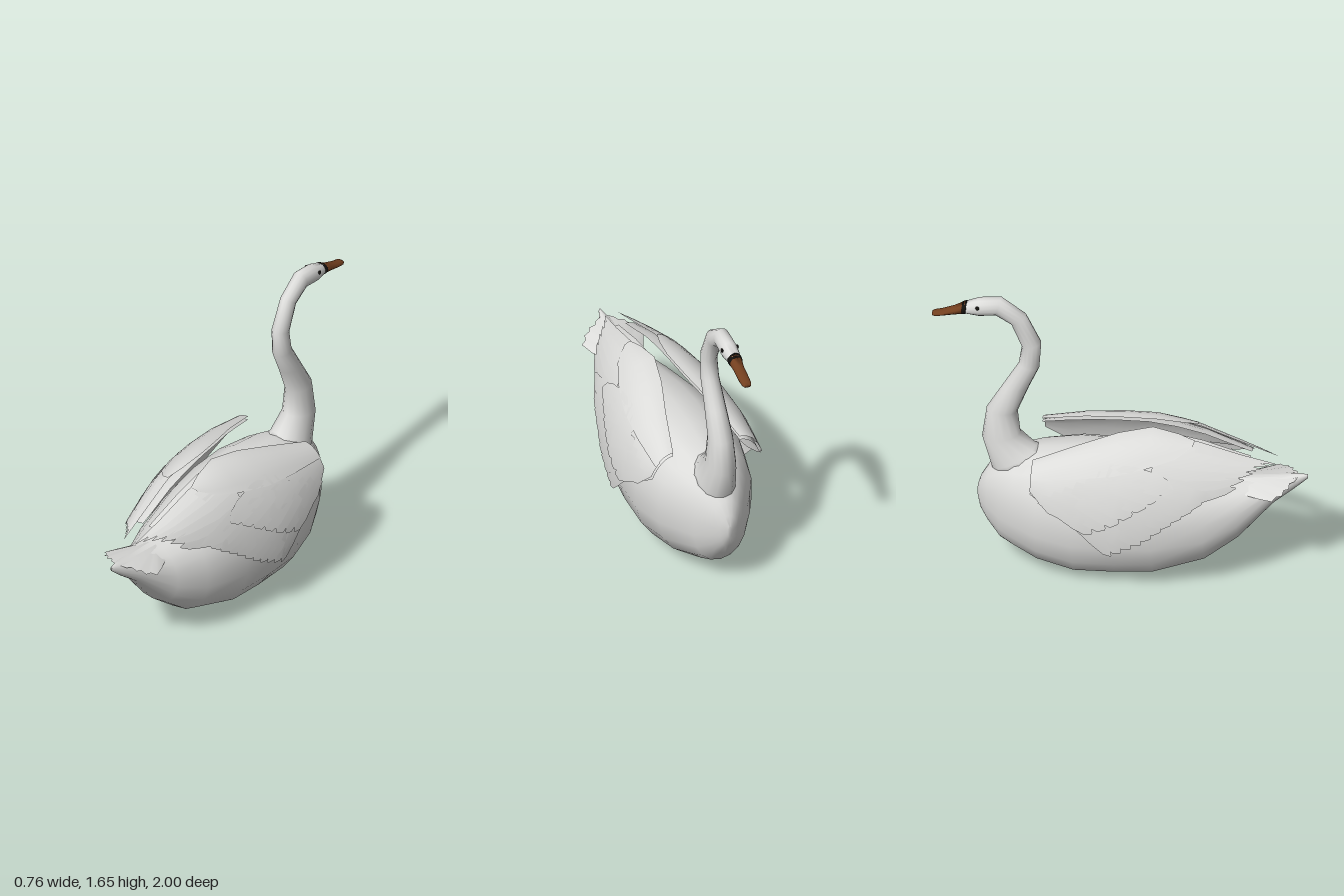
import * as THREE from 'three';

const DEG = Math.PI / 180;
const material = (name, color, side = THREE.FrontSide) =>
  Object.assign(new THREE.MeshStandardMaterial({ color, side }), { name });

function meshFrom(name, positions, index, mat) {
  const g = new THREE.BufferGeometry();
  g.setAttribute('position', new THREE.Float32BufferAttribute(positions, 3));
  g.setIndex(index);
  g.computeVertexNormals();
  const m = new THREE.Mesh(g, mat);
  m.name = name;
  return m;
}

// Loft through rings: [topZ, topY, bottomZ, bottomY, halfWidth]
function loft(name, rings, mat, sides = 16, power = 2) {
  const pos = [], idx = [];
  const round = v => Math.sign(v) * Math.abs(v) ** (2 / power);
  for (const [tz, ty, bz, by, w] of rings) {
    for (let j = 0; j < sides; j++) {
      const t = (j / sides) * Math.PI * 2;
      const c = round(Math.cos(t)), s = round(Math.sin(t));
      pos.push(s * w, (ty + by) / 2 + c * (ty - by) / 2, (tz + bz) / 2 + c * (tz - bz) / 2);
    }
  }
  const last = rings.length - 1;
  for (let i = 0; i < last; i++) {
    for (let j = 0; j < sides; j++) {
      const k = (j + 1) % sides, a = i * sides, b = a + sides;
      idx.push(a + j, a + k, b + j, a + k, b + k, b + j);
    }
  }
  for (let j = 1; j < sides - 1; j++) {
    idx.push(0, j + 1, j, last * sides, last * sides + j, last * sides + j + 1);
  }
  return meshFrom(name, pos, idx, mat);
}

// Arched wing shell, by z: [z, innerX, topY, outerX, sideY]
const SHELL = [
  [-0.44, 0.19, 0.74, 0.335, 0.46], [-0.2, 0.13, 0.82, 0.362, 0.42],
  [0, 0.07, 0.875, 0.362, 0.38], [0.18, 0.035, 0.905, 0.335, 0.38],
  [0.4, 0.03, 0.875, 0.285, 0.45], [0.65, 0.02, 0.79, 0.18, 0.6],
  [0.85, 0.015, 0.73, 0.06, 0.68],
];
function shellPoint(z, angle, lift, side) {
  let i = 0;
  while (i < SHELL.length - 2 && z > SHELL[i + 1][0]) i++;
  const a = SHELL[i], b = SHELL[i + 1];
  const f = THREE.MathUtils.clamp((z - a[0]) / (b[0] - a[0]), 0, 1);
  const [, xi, yt, xo, ys] = a.map((v, n) => v + (b[n] - v) * f);
  const s = Math.sin(angle * DEG), c = Math.cos(angle * DEG);
  return [side * (xi + (xo - xi + lift) * s), ys + (yt - ys + lift) * c, z];
}

// Sheet on the shell; stations are [innerZ, innerAngle, outerZ, outerAngle]
function sheet(name, stations, lift, side, mat, across = 6) {
  const pos = [], idx = [], n = across + 1;
  stations.forEach(([z0, a0, z1, a1], i) => {
    for (let j = 0; j <= across; j++) {
      const v = j / across;
      pos.push(...shellPoint(z0 + (z1 - z0) * v, a0 + (a1 - a0) * v, lift, side));
      if (i && j) {
        const p = (i - 1) * n + j - 1, q = p + n;
        if (side > 0) idx.push(p, q, p + 1, q, q + 1, p + 1);
        else idx.push(p, p + 1, q, q, p + 1, q + 1);
      }
    }
  });
  return meshFrom(name, pos, idx, mat);
}

// One pointed feather lying on the shell
function feather(name, rootZ, rootA, tipZ, tipA, width, lift, side, mat) {
  const perDeg = 0.006;
  const dz = tipZ - rootZ, da = (tipA - rootA) * perDeg, len = Math.hypot(dz, da);
  const pz = -da / len, pa = dz / len / perDeg;
  const stations = [[0, 0.7], [0.35, 1], [0.7, 1], [0.9, 0.75], [1, 0.12]].map(([t, w]) => {
    const z = rootZ + dz * t, a = rootA + (tipA - rootA) * t, h = width * w / 2;
    return [z - pz * h, a - pa * h, z + pz * h, a + pa * h];
  });
  return sheet(name, stations, lift, side, mat, 2);
}

function wing(side, mat) {
  const g = new THREE.Group();
  g.name = side > 0 ? 'leftWing' : 'rightWing';
  // Base sheet following the folded wing
  const base = [[-0.44, 55], [-0.3, 76], [-0.15, 86], [0, 88], [0.15, 80],
    [0.3, 70], [0.45, 62], [0.6, 58], [0.7, 48]];
  g.add(sheet('wingBase', base.map(([z, a]) => [z, 0, z, a]), 0, side, mat));
  // Flight feathers fanned along the lower edge
  const lower = 11;
  for (let i = 0; i < lower; i++) {
    const t = i / (lower - 1);
    g.add(feather('flightFeather', -0.27 + 0.42 * t, 68 - 22 * t, 0.0 + 0.52 * t, 99 - 30 * t,
      0.075, 0.006 + 0.0008 * i, side, mat));
  }
  // Long feathers reaching back over the tail
  for (let i = 0; i < 6; i++) {
    const t = i / 5;
    g.add(feather('longFeather', 0.2, 14 + 42 * t, 0.84 - 0.2 * t, 20 + 48 * t,
      0.085, 0.016 - 0.001 * i, side, mat));
  }
  // Overlapping coverts on the flank and shoulder
  for (let i = 0; i < 7; i++) {
    const t = i / 6;
    g.add(feather('covert', -0.38 + 0.35 * t, 60 - 22 * t, -0.1 + 0.42 * t, 84 - 28 * t,
      0.09, 0.016 + 0.0008 * i, side, mat));
  }
  g.add(sheet('shoulderCovert', [[-0.44, 28, -0.44, 52], [-0.32, 30, -0.34, 74],
    [-0.2, 34, -0.22, 80], [-0.06, 38, -0.14, 78], [0.08, 40, 0.02, 62], [0.16, 42, 0.14, 52]],
  0.014, side, mat));
  // Broad scapular sheet along the back
  g.add(sheet('scapular', [[-0.44, 0, -0.44, 38], [-0.2, 0, -0.2, 42], [0, 0, 0, 43],
    [0.18, 0, 0.18, 40], [0.32, 4, 0.32, 32], [0.41, 10, 0.4, 18]], 0.02, side, mat));
  return g;
}

// Half of the fanned tail with a notched rim
function tailFan(side, mat) {
  const rim = [[0.115, 0.583, 0.68], [0.15, 0.59, 0.76], [0.175, 0.598, 0.83], [0.145, 0.61, 0.85],
    [0.14, 0.615, 0.88], [0.11, 0.63, 0.885], [0.1, 0.635, 0.91], [0.065, 0.645, 0.91],
    [0.05, 0.65, 0.935], [0.01, 0.66, 0.95]];
  const pos = [side * 0.02, 0.625, 0.64], idx = [];
  rim.forEach(([x, y, z], i) => {
    pos.push(side * x, y, z);
    if (i) idx.push(...(side > 0 ? [0, i + 1, i] : [0, i, i + 1]));
  });
  return meshFrom('tailFan', pos, idx, mat);
}

export function createModel() {
  const swan = new THREE.Group();
  swan.name = 'swan';
  const white = material('white plumage', 0xdcdcda, THREE.DoubleSide);
  const brown = material('brown bill', 0x74401f);
  const black = material('black markings', 0x15120f);

  // Body: [z, bottomY, topY, halfWidth] from tail to breast
  const body = [
    [1.0, 0.645, 0.67, 0.006], [0.93, 0.58, 0.665, 0.035], [0.82, 0.49, 0.645, 0.085],
    [0.64, 0.27, 0.625, 0.17], [0.47, 0.13, 0.66, 0.24], [0.2, 0.03, 0.72, 0.3],
    [0, 0.015, 0.745, 0.32], [-0.22, 0.005, 0.745, 0.318], [-0.42, 0.045, 0.72, 0.27],
    [-0.55, 0.1, 0.685, 0.205], [-0.63, 0.14, 0.64, 0.155], [-0.7, 0.23, 0.57, 0.095],
    [-0.74, 0.3, 0.5, 0.05], [-0.757, 0.37, 0.44, 0.012],
  ].map(([z, b, t, w]) => [z, t, z, b, w]);
  swan.add(loft('body', body, white, 18, 2.2));

  // Neck and head: back point, front point, half width
  swan.add(loft('neckAndHead', [
    [-0.36, 0.69, -0.66, 0.5, 0.13], [-0.45, 0.72, -0.685, 0.58, 0.105],
    [-0.53, 0.8, -0.735, 0.76, 0.08], [-0.545, 0.94, -0.71, 0.95, 0.066],
    [-0.485, 1.1, -0.625, 1.1, 0.056], [-0.43, 1.23, -0.54, 1.25, 0.049],
    [-0.42, 1.39, -0.523, 1.36, 0.044], [-0.5, 1.56, -0.58, 1.5, 0.042],
    [-0.635, 1.66, -0.66, 1.55, 0.045], [-0.75, 1.645, -0.75, 1.54, 0.047],
    [-0.83, 1.612, -0.825, 1.548, 0.036],
  ], white, 14));

  // Bill with a dark band at its base
  swan.add(loft('billBase', [
    [-0.815, 1.62, -0.82, 1.545, 0.04], [-0.84, 1.608, -0.84, 1.543, 0.038],
  ], black, 10));
  swan.add(loft('bill', [
    [-0.825, 1.616, -0.825, 1.545, 0.037], [-0.88, 1.583, -0.88, 1.536, 0.03],
    [-0.95, 1.553, -0.95, 1.522, 0.03], [-0.985, 1.545, -0.985, 1.516, 0.027],
    [-1.0, 1.538, -1.0, 1.52, 0.02],
  ], brown, 10));

  for (const side of [1, -1]) {
    const eye = new THREE.Mesh(new THREE.SphereGeometry(0.011, 10, 8), black);
    eye.name = side > 0 ? 'leftEye' : 'rightEye';
    eye.scale.x = 0.6;
    eye.position.set(side * 0.044, 1.609, -0.755);
    swan.add(eye, wing(side, white), tailFan(side, white));
  }
  return swan;
}
